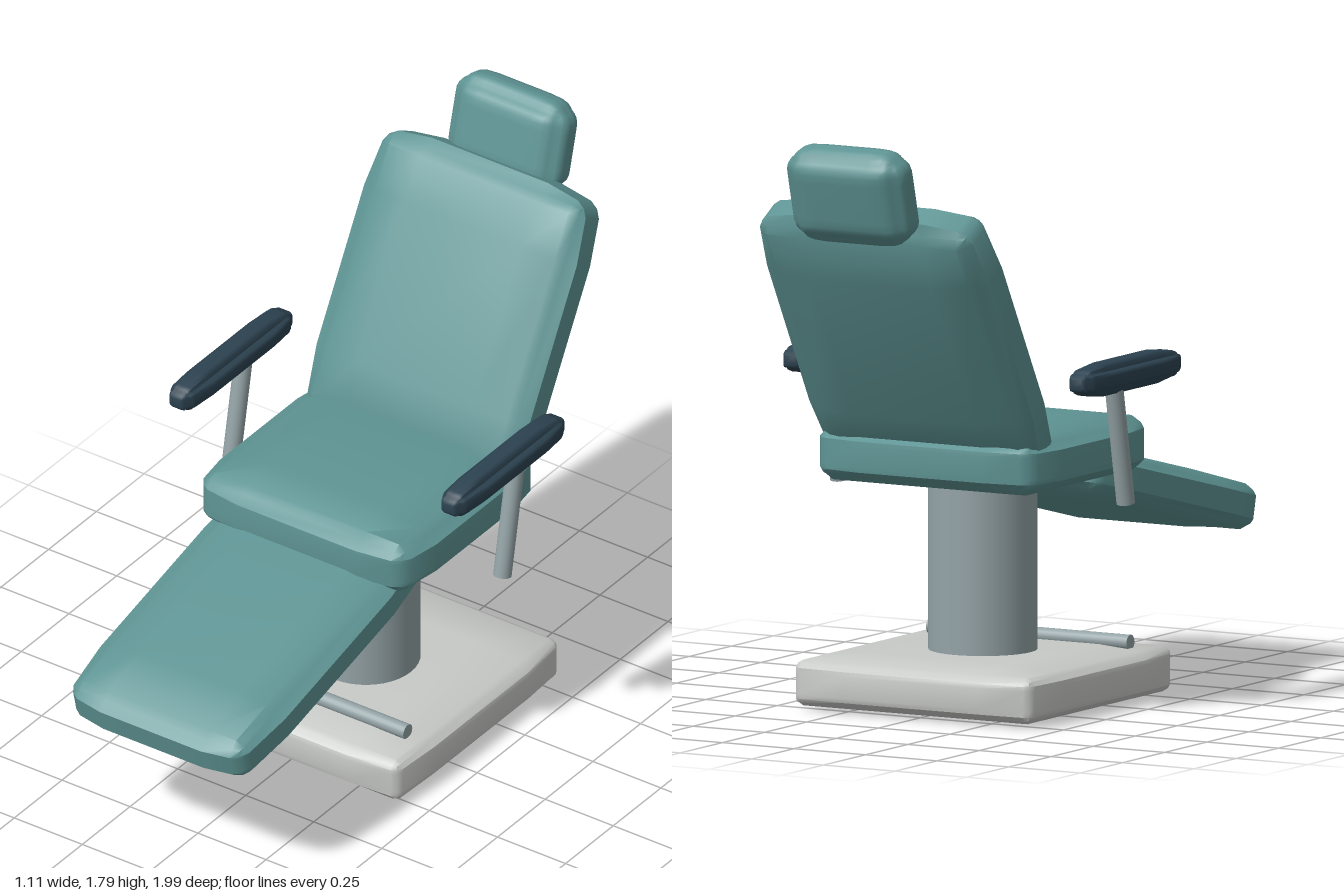
import * as THREE from 'three';
import { toCreasedNormals } from 'three/addons/utils/BufferGeometryUtils.js';

const paint = (name, color) => {
  const m = new THREE.MeshStandardMaterial({ color });
  m.name = name;
  return m;
};

// Padded block: rounded edges, with faces that fall away toward their rims
function cushion(w, h, d, r, bulge, steps = 1, crease = 0.6) {
  const half = [w / 2, h / 2, d / 2];
  const segs = 3 + 2 * steps;
  const geo = new THREE.BoxGeometry(2, 2, 2, segs, segs, segs);
  const knots = half.map((s) => {
    const a = 1 - r / s;
    const pos = [Math.min(0.58, a * 0.7)];
    for (let i = 0; i <= steps; i++) pos.push(a + ((1 - a) * i) / steps);
    return [...pos.map((v) => -v).reverse(), ...pos];
  });
  const p = geo.attributes.position;
  for (let i = 0; i < p.count; i++) {
    const t = [0, 1, 2].map((k) => knots[k][Math.round(((p.getComponent(i, k) + 1) / 2) * segs)]);
    const core = t.map((v, k) => THREE.MathUtils.clamp(v * half[k], r - half[k], half[k] - r));
    const out = new THREE.Vector3(...t.map((v, k) => v * half[k] - core[k]));
    out.setLength(r);
    const q = core.map((v, k) => v + out.getComponent(k));
    const fall = t.map((v) => Math.max(0, (Math.abs(v) - 0.58) / 0.42));
    for (let k = 0; k < 3; k++) {
      const f = Math.max(fall[(k + 1) % 3], fall[(k + 2) % 3]);
      p.setComponent(i, k, q[k] - t[k] * bulge * f);
    }
  }
  return toCreasedNormals(geo, crease);
}

export function createModel() {
  const group = new THREE.Group();
  const teal = paint('teal upholstery', 0x5f9494);
  const navy = paint('dark armrest pad', 0x2c4250);
  const steel = paint('grey metal', 0x94a3a6);
  const shell = paint('pale base', 0xc8cac7);

  const add = (name, geo, mat, x, y, z, tilt = 0) => {
    const mesh = new THREE.Mesh(geo, mat);
    mesh.name = name;
    mesh.position.set(x, y, z);
    mesh.rotation.x = tilt;
    group.add(mesh);
    return mesh;
  };

  // Pedestal
  add('base', cushion(0.86, 0.165, 0.88, 0.025, 0.015), shell, 0, 0.0825, -0.13);
  add('column', new THREE.CylinderGeometry(0.165, 0.165, 0.54, 40), steel, 0, 0.42, -0.13);
  add('footBar', new THREE.CylinderGeometry(0.024, 0.024, 0.7, 20), steel, 0, 0.173, 0.15)
    .rotation.z = Math.PI / 2;

  // Upholstered sections
  add('seat', cushion(0.8, 0.205, 0.75, 0.04, 0.025), teal, 0, 0.7775, -0.135);
  add('backrest', cushion(0.78, 0.92, 0.185, 0.04, 0.022), teal, 0, 1.178, -0.588, -0.515);
  add('legRest', cushion(0.68, 0.175, 1.03, 0.04, 0.022), teal, 0, 0.592, 0.492, 0.24);
  add('headrest', cushion(0.41, 0.3, 0.15, 0.06, 0.01, 3, 1), teal, 0, 1.64, -0.9, -0.26);

  // Armrests on slanted posts
  for (const [side, x] of [['left', 0.5], ['right', -0.5]]) {
    add(side + 'Armrest', cushion(0.11, 0.1, 0.58, 0.03, 0.014, 2, 0.8), navy, x, 1.04, -0.135);
    add(side + 'ArmPost', new THREE.CylinderGeometry(0.028, 0.028, 0.38, 20), steel, x, 0.83, -0.168, -0.19);
  }
  return group;
}
